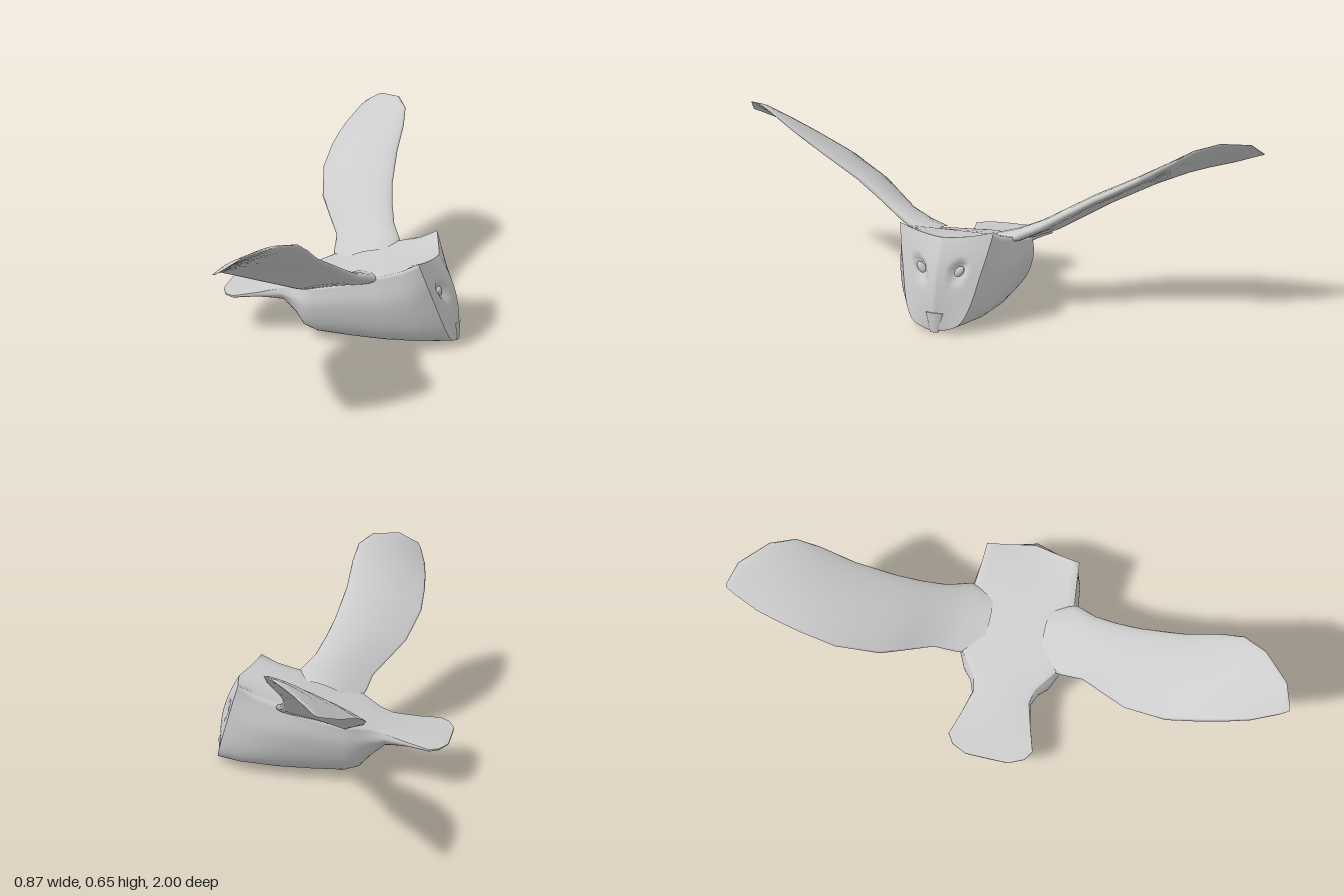
import * as THREE from 'three';

const material = new THREE.MeshStandardMaterial({ color: 0xcccccc });
const lerp = THREE.MathUtils.lerp;

// Skin a grid of points; closed rows wrap around into a tube.
function skin(name, rows, closed) {
  const n = rows[0].length, index = [];
  for (let i = 0; i < rows.length - 1; i++) {
    for (let j = 0; j < (closed ? n : n - 1); j++) {
      const a = i * n + j, b = i * n + (j + 1) % n;
      index.push(a, b, a + n, b, b + n, a + n);
    }
  }
  const geometry = new THREE.BufferGeometry();
  geometry.setAttribute('position', new THREE.Float32BufferAttribute(rows.flat(2), 3));
  geometry.setIndex(index);
  geometry.computeVertexNormals();
  const mesh = new THREE.Mesh(geometry, material);
  mesh.name = name;
  return mesh;
}

// A row of identical points that closes the end of a tube.
const cap = (row) => {
  const c = [0, 1, 2].map((k) => row.reduce((s, p) => s + p[k], 0) / row.length);
  return row.map(() => c);
};

// Body sections: x, slant, back y, shoulder z/y, flank z/y, belly z/y, keel y
const SECTIONS = [
  [-0.44, 0, 0.150, 0.08, 0.150, 0.08, 0.147, 0.05, 0.144, 0.142],
  [-0.415, 0, 0.153, 0.135, 0.152, 0.135, 0.147, 0.09, 0.140, 0.138],
  [-0.38, 0, 0.158, 0.158, 0.155, 0.158, 0.148, 0.10, 0.138, 0.133],
  [-0.30, 0, 0.170, 0.132, 0.165, 0.132, 0.152, 0.08, 0.132, 0.126],
  [-0.21, 0, 0.190, 0.105, 0.182, 0.11, 0.155, 0.075, 0.125, 0.117],
  [-0.16, 0, 0.205, 0.115, 0.197, 0.13, 0.150, 0.10, 0.095, 0.070],
  [-0.12, 0, 0.215, 0.145, 0.210, 0.165, 0.150, 0.13, 0.060, 0.030],
  [-0.07, 0, 0.227, 0.185, 0.224, 0.188, 0.150, 0.14, 0.045, 0.018],
  [0.05, 0, 0.262, 0.195, 0.255, 0.20, 0.170, 0.15, 0.045, 0.006],
  [0.15, 0.1, 0.292, 0.19, 0.290, 0.205, 0.180, 0.155, 0.045, 0.010],
  [0.24, 0.25, 0.308, 0.18, 0.318, 0.19, 0.190, 0.14, 0.045, 0.012],
  [0.31, 0.34, 0.325, 0.175, 0.350, 0.15, 0.230, 0.09, 0.040, 0.003],
];
const TOP = 6, SIDE = 24;
const bulge = (y) => 0.05 * Math.sin(Math.PI * THREE.MathUtils.clamp(y / 0.42, 0, 1));

function sidePoints([, , , ws, ys, wm, ym, wb, yb, y0]) {
  const curve = new THREE.CatmullRomCurve3([[ws, ys], [wm, ym], [wb, yb], [0, y0]]
    .map(([z, y]) => new THREE.Vector3(0, y, z)));
  return curve.getPoints(SIDE);
}

function bodyRow(section) {
  const [x, slant, yTop, ws, ys] = section;
  const front = section === SECTIONS[SECTIONS.length - 1];
  const half = [];
  for (let i = 0; i < TOP; i++) {
    const u = i / TOP, y = lerp(yTop, ys, u * u);
    half.push([x + slant * (0.35 - y) + (front ? bulge(y) * (1 - u) : 0), y, u * ws]);
  }
  sidePoints(section).forEach((p) => half.push([x + slant * (0.35 - p.y), p.y, p.z]));
  const mirrored = half.slice(1, -1).reverse().map(([a, b, c]) => [a, b, -c]);
  return [...half, ...mirrored];
}

// Heart-shaped face with a central ridge and two slanted eye hollows.
function faceRows() {
  const section = SECTIONS[SECTIONS.length - 1], columns = 36;
  return sidePoints(section).map((p, i) => {
    const row = [];
    for (let j = 0; j <= columns; j++) {
      const u = (j / columns) * 2 - 1, z = u * p.z;
      const y = p.y - 0.025 * (1 - u * u) * (1 - i / SIDE) ** 4;
      const dz = Math.abs(z) - 0.07, dy = y - 0.215;
      const along = (dz * 0.6 + dy * 0.8) / 0.036, across = (dz * 0.8 - dy * 0.6) / 0.022;
      const hollow = 0.024 * Math.exp(-((along * along + across * across) ** 2));
      row.push([0.31 + 0.34 * (0.35 - y) + bulge(y) * (1 - Math.abs(u)) - hollow, y, z]);
    }
    return row;
  });
}

// Wing stations: z, leading edge x/y, trailing edge x/y, thickness
const WING = [
  [0.12, 0.15, 0.265, -0.07, 0.200, 0.05],
  [0.20, 0.165, 0.290, -0.09, 0.225, 0.05],
  [0.28, 0.125, 0.325, -0.10, 0.258, 0.045],
  [0.36, 0.10, 0.372, -0.148, 0.302, 0.042],
  [0.45, 0.08, 0.425, -0.20, 0.350, 0.04],
  [0.60, 0.065, 0.505, -0.235, 0.425, 0.035],
  [0.72, 0.065, 0.580, -0.23, 0.480, 0.03],
  [0.80, 0.055, 0.630, -0.22, 0.510, 0.025],
  [0.88, 0.01, 0.653, -0.205, 0.537, 0.02],
  [0.97, -0.08, 0.637, -0.175, 0.575, 0.012],
  [1.00, -0.15, 0.592, -0.16, 0.588, 0.004],
];

function wing(side) {
  const n = 10;
  const rows = WING.map(([z, xl, yl, xt, yt, t]) => {
    const row = [];
    for (let k = 0; k < 2 * n; k++) {
      // Over the top from leading to trailing edge, then back underneath.
      const u = (1 - Math.cos((Math.PI * k) / n)) / 2;
      const camber = 0.35 * t * Math.sin(Math.PI * u);
      const h = camber + (k < n ? 1 : -1) * t * 1.2 * Math.sqrt(u) * (1 - u);
      row.push([lerp(xl, xt, u), lerp(yl, yt, u) + h * 0.87, side * (z - h * 0.45 * (z < 1 ? 1 : 0))]);
    }
    return side > 0 ? row : row.reverse();
  });
  rows.push(cap(rows[rows.length - 1]));
  return skin(side > 0 ? 'leftWing' : 'rightWing', rows, true);
}

export function createModel() {
  const model = new THREE.Group();
  model.name = 'bird';

  // Body and fanned tail in one skin, face set into its front rim
  const body = SECTIONS.map(bodyRow);
  model.add(skin('bodyAndTail', [cap(body[0]), ...body], true));
  model.add(skin('face', faceRows(), false));

  for (const side of [1, -1]) {
    model.add(wing(side));

    // Eyeball resting in the hollow
    const eye = new THREE.Mesh(new THREE.SphereGeometry(0.018, 16, 12), material);
    eye.name = side > 0 ? 'leftEye' : 'rightEye';
    eye.scale.set(0.6, 1.3, 0.8);
    eye.rotation.x = side * 0.64;
    eye.position.set(0.366, 0.213, side * 0.07);
    model.add(eye);
  }

  // Short tapered beak
  const beakShape = new THREE.CylinderGeometry(0.036, 0.016, 0.07, 8);
  beakShape.scale(0.45, 1, 1);
  const beak = new THREE.Mesh(beakShape, material);
  beak.name = 'beak';
  beak.position.set(0.422, 0.039, 0);
  beak.rotation.z = 0.1;
  model.add(beak);

  return model;
}
